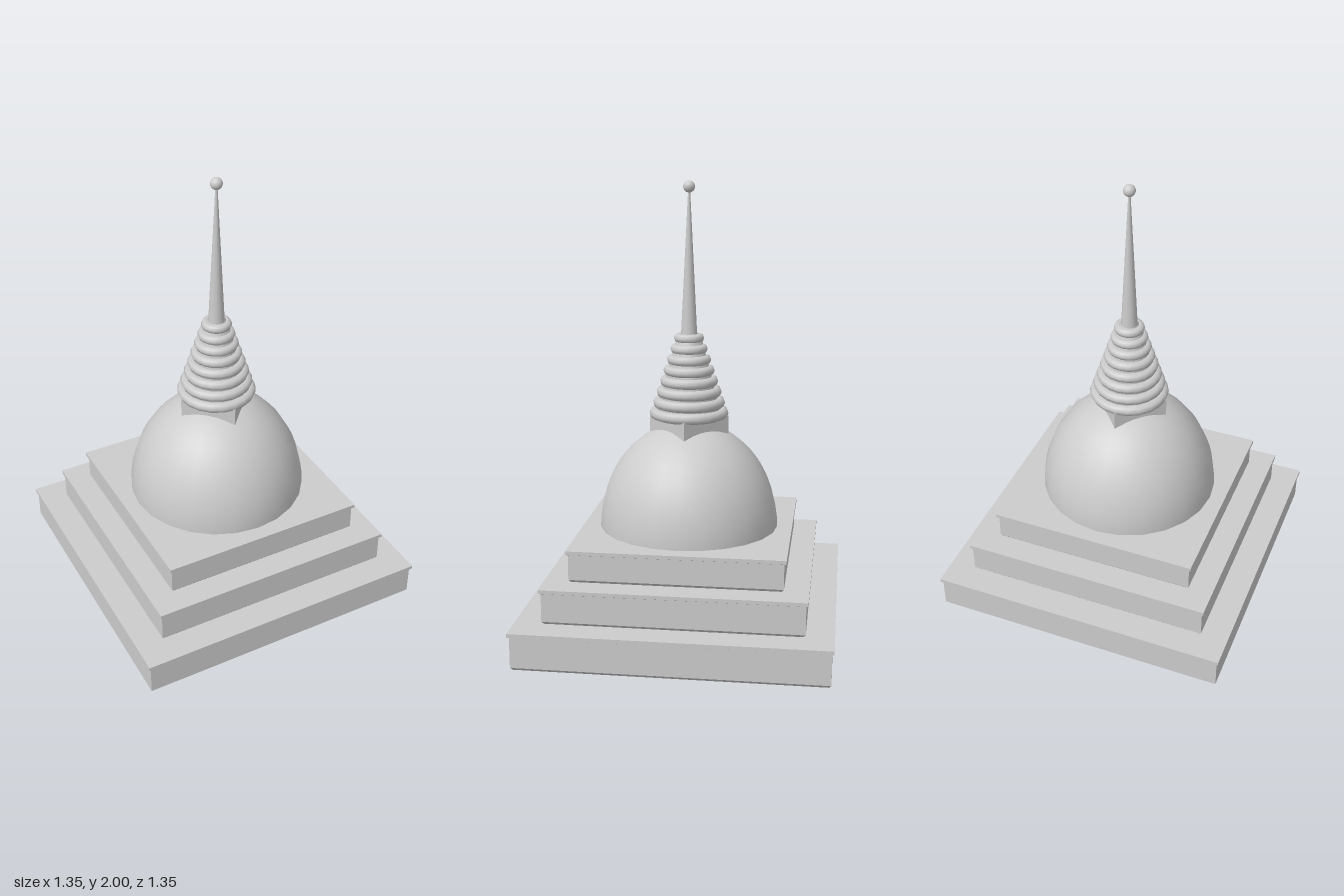
import * as THREE from 'three';

export function createModel() {
  const model = new THREE.Group();
  const stone = new THREE.MeshStandardMaterial({ color: 0xcccccc });
  stone.name = 'pale stone';

  const add = (name, geometry, y = 0) => {
    const mesh = new THREE.Mesh(geometry, stone);
    mesh.name = name;
    mesh.position.y = y;
    model.add(mesh);
    return mesh;
  };
  const lathe = (points, sides, start = 0) =>
    new THREE.LatheGeometry(points.map(([r, y]) => new THREE.Vector2(r, y)), sides, start);
  // Four-sided lathe with crisp faces
  const square = (points, start) => {
    const g = lathe(points, 4, start).toNonIndexed();
    g.computeVertexNormals();
    return g;
  };

  // Three stepped terraces, each with a thin overhanging lip
  const terraces = [
    { half: 0.664, lip: 0.673, bottom: 0.01, top: 0.175 },
    { half: 0.554, lip: 0.563, bottom: 0.175, top: 0.33 },
    { half: 0.457, lip: 0.467, bottom: 0.33, top: 0.472 },
  ];
  terraces.forEach(({ half, lip, bottom, top }, i) => {
    const profile = [
      [0, i === 0 ? 0 : bottom], [half - 0.01, bottom], [half, bottom + 0.012],
      [half, top - 0.02], [lip, top - 0.016], [lip, top], [0, top],
    ].map(([x, y]) => [x * Math.SQRT2, y]);
    add('terrace' + (i + 1), square(profile, Math.PI / 4));
  });

  // Bell-shaped dome
  const dome = add('dome',
    new THREE.SphereGeometry(0.4, 24, 14, 0, Math.PI * 2, 0, Math.PI / 2), 0.465);
  dome.scale.y = 1.19;

  // Square block on the dome, turned by 45 degrees
  add('crownBlock', square([[0, 0.85], [0.176, 0.85], [0.176, 0.975], [0, 0.975]], 0));

  // Tapering stack of rings around a conical core
  add('ringCore', lathe([[0, 0.965], [0.15, 0.965], [0.05, 1.338], [0, 1.338]], 20));
  const count = 8;
  for (let i = 0; i < count; i++) {
    const t = i / (count - 1);
    const tube = 0.024 - 0.004 * t;
    const outer = 0.176 - 0.109 * t;
    const ring = new THREE.TorusGeometry(outer - tube, tube, 8, 20);
    ring.rotateX(Math.PI / 2);
    add('ring' + (i + 1), ring, 0.985 + 0.335 * t);
  }

  // Slender spire and finial ball
  add('spire', new THREE.CylinderGeometry(0.004, 0.036, 0.64, 16), 1.65);
  add('finial', new THREE.SphereGeometry(0.026, 16, 12), 1.974);

  return model;
}
